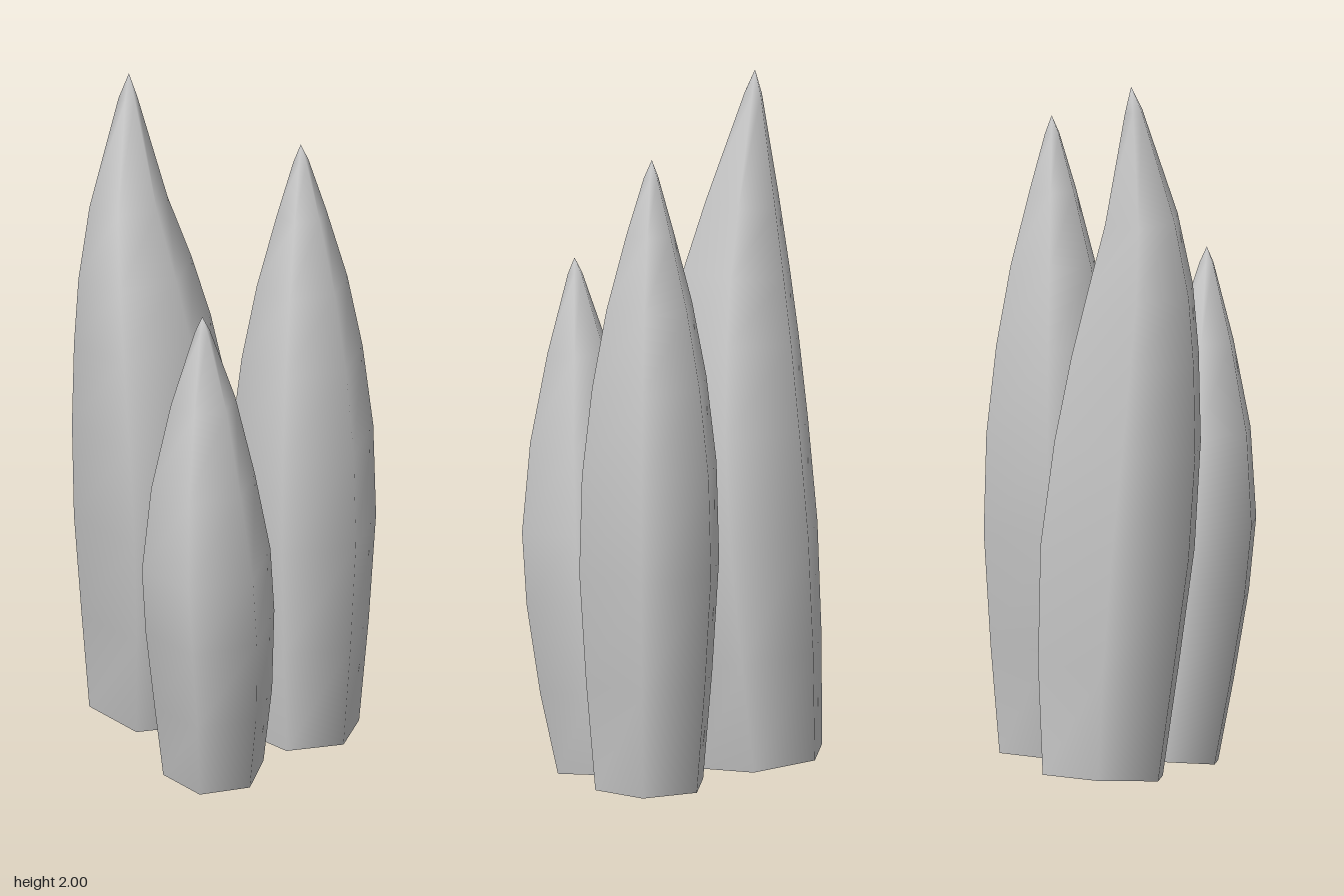
import * as THREE from 'three';

const SIDES = 6;

// Each ring is [y, centreX, centreZ, radius], bottom to top; the tip is [x, y, z].
const SPIKES = [
  {
    name: 'frontSpike',
    tip: [0.19, 1.84, 0.19],
    rings: [
      [0.04, 0.188, 0.197, 0.165], [0.35, 0.188, 0.197, 0.193], [0.67, 0.188, 0.197, 0.214],
      [0.95, 0.188, 0.197, 0.206], [1.2, 0.188, 0.197, 0.175], [1.42, 0.188, 0.197, 0.131],
      [1.63, 0.188, 0.195, 0.072], [1.79, 0.189, 0.192, 0.022],
    ],
  },
  {
    name: 'backSpike',
    tip: [-0.063, 2.0, -0.238],
    rings: [
      [0.04, 0.018, -0.22, 0.187], [0.35, 0.004, -0.193, 0.219], [0.68, -0.02, -0.17, 0.24],
      [0.98, -0.048, -0.166, 0.228], [1.23, -0.07, -0.177, 0.198], [1.42, -0.085, -0.191, 0.164],
      [1.62, -0.09, -0.212, 0.113], [1.93, -0.07, -0.235, 0.027],
    ],
  },
  {
    name: 'smallSpike',
    tip: [-0.242, 1.465, 0.235],
    rings: [
      [0.02, -0.147, 0.183, 0.145], [0.25, -0.167, 0.203, 0.17], [0.5, -0.194, 0.217, 0.186],
      [0.7, -0.214, 0.222, 0.186], [0.95, -0.23, 0.226, 0.15], [1.2, -0.233, 0.229, 0.093],
      [1.42, -0.241, 0.234, 0.022],
    ],
  },
];

// Hollow hexagonal spike: rings tilted square to their bent centre line, closed at the tip.
function makeSpike({ name, tip, rings }, material) {
  const positions = [];
  const index = [];
  const last = rings.length - 1;
  rings.forEach(([y, cx, cz, r], i) => {
    const below = rings[Math.max(i - 1, 0)];
    const above = rings[Math.min(i + 1, last)];
    const leanX = (above[1] - below[1]) / (above[0] - below[0]);
    const leanZ = (above[2] - below[2]) / (above[0] - below[0]);
    for (let s = 0; s < SIDES; s++) {
      const a = (s / SIDES) * Math.PI * 2;
      const dx = Math.sin(a) * r;
      const dz = Math.cos(a) * r;
      positions.push(cx + dx, y - dx * leanX - dz * leanZ, cz + dz);
      const n = (s + 1) % SIDES;
      const p = i * SIDES + s;
      const q = i * SIDES + n;
      if (i < last) index.push(p, q, q + SIDES, p, q + SIDES, p + SIDES);
      else index.push(p, q, rings.length * SIDES);
    }
  });
  positions.push(...tip);
  const geometry = new THREE.BufferGeometry();
  geometry.setAttribute('position', new THREE.Float32BufferAttribute(positions, 3));
  geometry.setIndex(index);
  geometry.computeVertexNormals();
  const mesh = new THREE.Mesh(geometry, material);
  mesh.name = name;
  return mesh;
}

export function createModel() {
  const group = new THREE.Group();
  group.name = 'spikeCluster';
  const material = new THREE.MeshStandardMaterial({ color: 0xcccccc, side: THREE.DoubleSide });
  SPIKES.forEach((spike) => group.add(makeSpike(spike, material)));
  return group;
}
